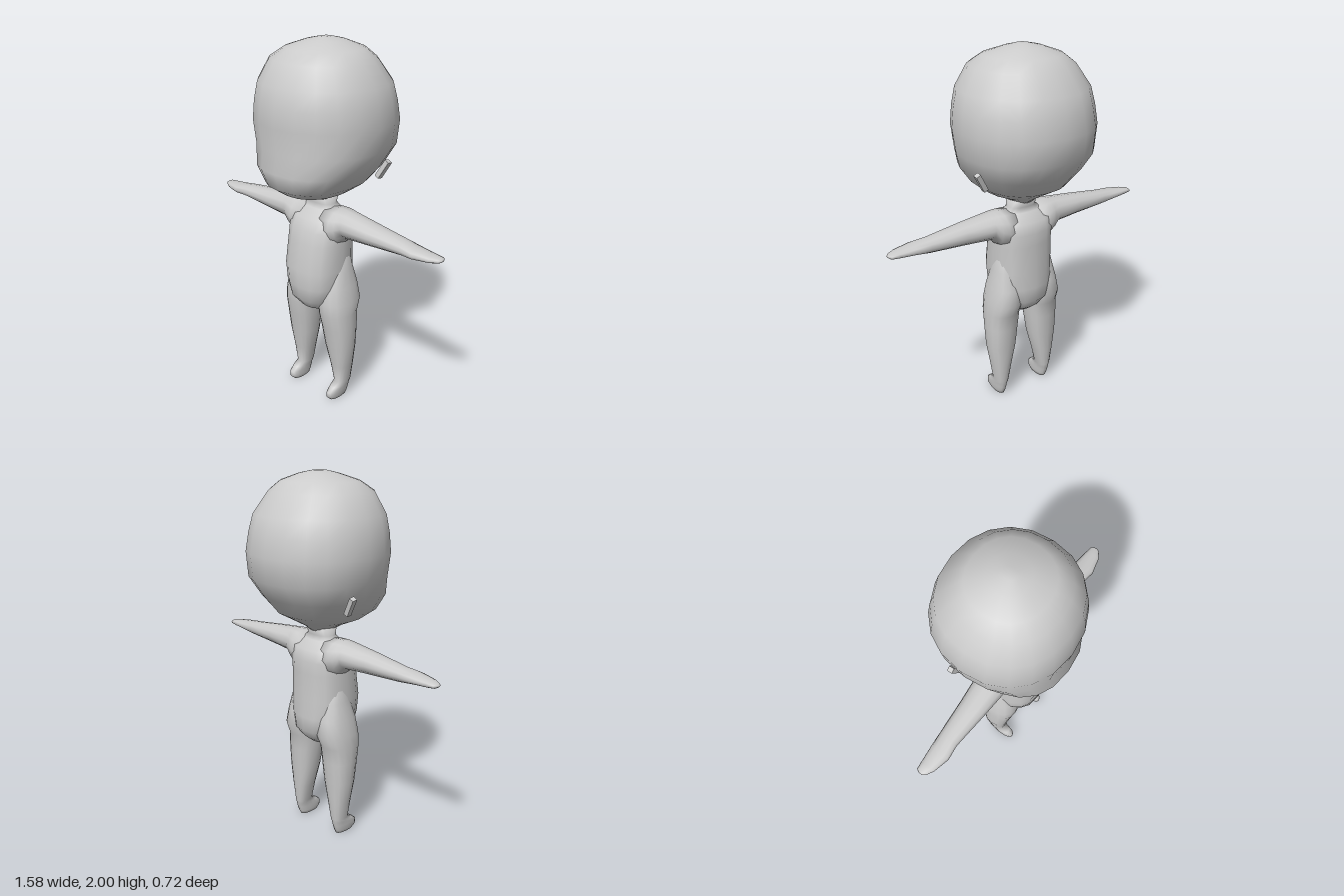
import * as THREE from 'three';

const material = new THREE.MeshStandardMaterial({ color: 0xcccccc });

// Smooth closed skin over rings; each section is [along, uMin, uMax, vMin, vMax, power],
// where a lower power makes a squarer ring.
// place(along, u, v) maps a section point into the model, flip reverses the winding.
function loft(name, sections, place, { flip = false, sides = 16, power = 0.92 } = {}) {
  const positions = [], index = [];
  const round = (c, p) => Math.sign(c) * Math.abs(c) ** p;
  const tri = (a, b, c) => (flip ? index.push(a, c, b) : index.push(a, b, c));
  for (const [w, u0, u1, v0, v1, p = power] of sections) {
    for (let i = 0; i < sides; i++) {
      const t = (i / sides) * Math.PI * 2;
      const u = (u0 + u1) / 2 + ((u1 - u0) / 2) * round(Math.cos(t), p);
      const v = (v0 + v1) / 2 + ((v1 - v0) / 2) * round(Math.sin(t), p);
      positions.push(...place(w, u, v));
    }
  }
  for (let r = 0; r < sections.length - 1; r++) {
    for (let i = 0; i < sides; i++) {
      const j = (i + 1) % sides, a = r * sides, b = a + sides;
      tri(a + i, b + i, a + j);
      tri(a + j, b + i, b + j);
    }
  }
  // end caps
  [0, sections.length - 1].forEach((r, end) => {
    const [w, u0, u1, v0, v1] = sections[r];
    const centre = positions.length / 3, a = r * sides;
    positions.push(...place(w, (u0 + u1) / 2, (v0 + v1) / 2));
    for (let i = 0; i < sides; i++) {
      const j = (i + 1) % sides;
      if (end) tri(centre, a + j, a + i);
      else tri(centre, a + i, a + j);
    }
  });
  const geometry = new THREE.BufferGeometry();
  geometry.setAttribute('position', new THREE.Float32BufferAttribute(positions, 3));
  geometry.setIndex(index);
  geometry.computeVertexNormals();
  const mesh = new THREE.Mesh(geometry, material);
  mesh.name = name;
  return mesh;
}

const symmetric = (rows) => rows.map(([y, w, back, front, power]) => [y, -w, w, back, front, power]);

export function createModel() {
  const model = new THREE.Group();
  model.name = 'figure';
  const upright = (y, x, z) => [x, y, z];

  // head: y, half width, back z, front z, squareness (jaw is broader)
  model.add(loft('head', symmetric([
    [1.175, 0.06, -0.04, 0.09],
    [1.2, 0.09, -0.07, 0.17],
    [1.235, 0.17, -0.13, 0.27, 0.88],
    [1.28, 0.23, -0.21, 0.335, 0.83],
    [1.37, 0.3, -0.28, 0.36, 0.83],
    [1.47, 0.347, -0.35, 0.343, 0.88],
    [1.6, 0.367, -0.363, 0.36],
    [1.7, 0.355, -0.345, 0.352],
    [1.79, 0.335, -0.32, 0.335],
    [1.9, 0.268, -0.24, 0.278],
    [1.95, 0.2, -0.185, 0.205],
    [1.985, 0.1, -0.095, 0.1],
    [2.0, 0.03, -0.03, 0.04],
  ]), upright, { sides: 20 }));

  // torso with neck
  model.add(loft('torso', symmetric([
    [0.53, 0.05, -0.03, 0.09],
    [0.56, 0.09, -0.07, 0.155],
    [0.62, 0.14, -0.115, 0.205],
    [0.7, 0.165, -0.117, 0.215],
    [0.8, 0.172, -0.112, 0.22],
    [0.95, 0.17, -0.11, 0.195],
    [1.02, 0.175, -0.11, 0.178],
    [1.08, 0.165, -0.095, 0.15],
    [1.125, 0.11, -0.045, 0.095],
    [1.15, 0.082, -0.03, 0.08],
    [1.21, 0.08, -0.055, 0.1],
  ]), upright, { power: 0.8 }));

  for (const s of [1, -1]) {
    const side = s > 0 ? 'left' : 'right';
    const flip = s < 0;

    // leg and foot, tapering into the hip: y, inner x, outer x, back z, front z
    model.add(loft(side + 'Leg', [
      [0.0, 0.125, 0.172, 0.0, 0.12],
      [0.02, 0.12, 0.18, -0.01, 0.14],
      [0.05, 0.118, 0.183, -0.02, 0.14],
      [0.075, 0.116, 0.185, -0.025, 0.11],
      [0.095, 0.112, 0.187, -0.03, 0.072],
      [0.2, 0.09, 0.203, -0.04, 0.085],
      [0.33, 0.058, 0.222, -0.05, 0.107],
      [0.45, 0.045, 0.225, -0.06, 0.127],
      [0.54, 0.035, 0.223, -0.068, 0.145],
      [0.61, 0.03, 0.219, -0.098, 0.148],
      [0.7, 0.03, 0.202, -0.088, 0.135],
      [0.8, 0.04, 0.18, -0.06, 0.1],
      [0.92, 0.06, 0.155, -0.03, 0.06],
    ], (y, x, z) => [s * x, y, z], { flip, power: 0.85 }));

    // arm and hand: x, back z, front z, bottom y, top y
    model.add(loft(side + 'Arm', [
      [0.07, -0.08, 0.14, 0.94, 1.14],
      [0.14, -0.08, 0.14, 0.945, 1.143],
      [0.175, -0.068, 0.13, 0.965, 1.142],
      [0.21, -0.055, 0.12, 1.0, 1.138],
      [0.37, -0.038, 0.108, 1.01, 1.12],
      [0.57, -0.022, 0.09, 1.022, 1.095],
      [0.65, -0.015, 0.1, 1.03, 1.084],
      [0.74, -0.005, 0.078, 1.038, 1.074],
      [0.78, 0.0, 0.055, 1.045, 1.068],
      [0.79, 0.018, 0.042, 1.052, 1.062],
    ], (x, z, y) => [s * x, y, z], { flip, sides: 12 }));

    // small slanted ear plate
    const ear = new THREE.Mesh(new THREE.BoxGeometry(0.026, 0.105, 0.03), material);
    ear.name = side + 'Ear';
    ear.position.set(s * 0.318, 1.37, -0.085);
    ear.rotation.set(-0.15, 0, -s * 0.52);
    model.add(ear);
  }
  return model;
}
